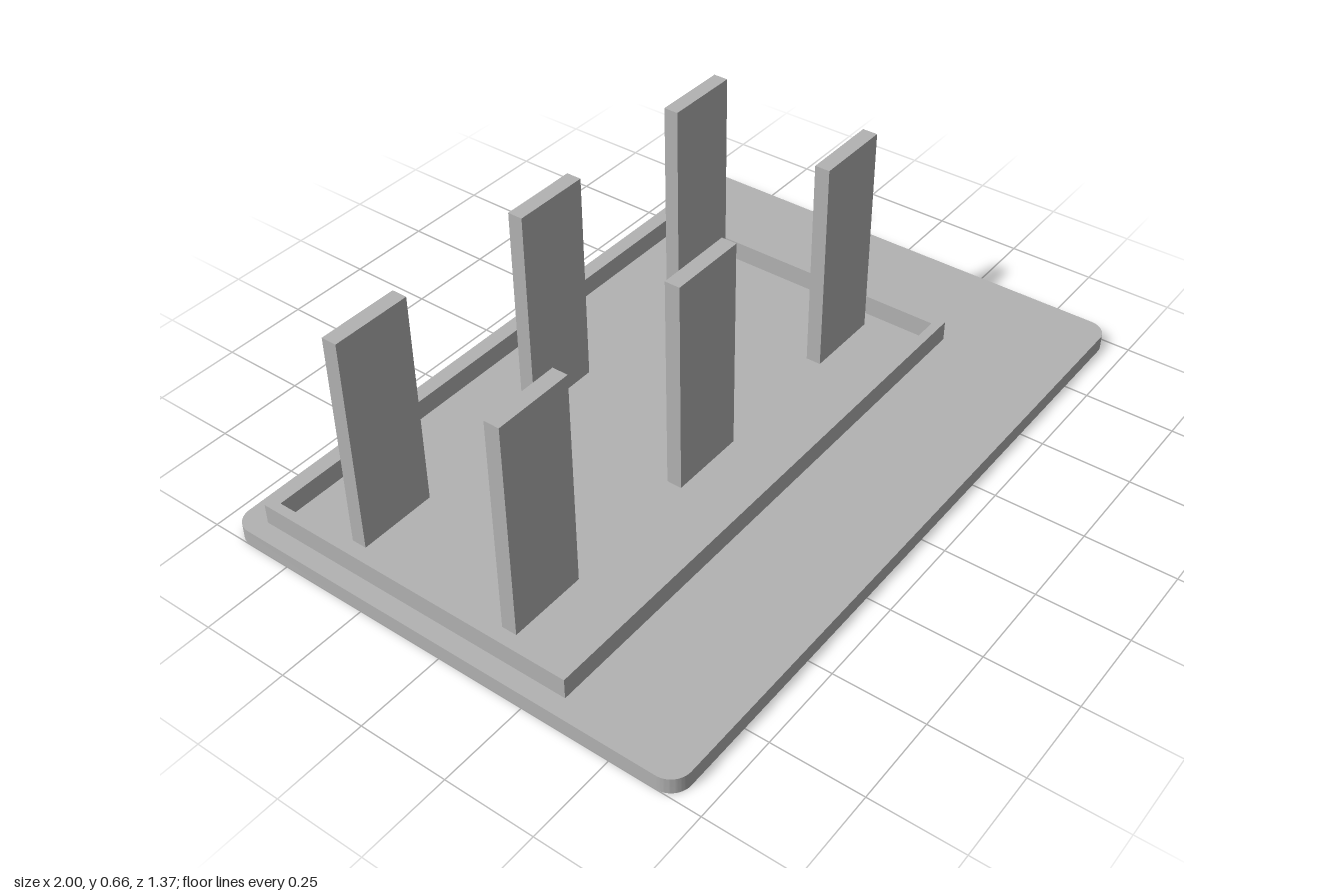
import * as THREE from 'three';
import { toCreasedNormals } from 'three/addons/utils/BufferGeometryUtils.js';

const PLATE_TOP = 0.045;
const RIM_TOP = 0.103;
const POST_TOP = 0.664;

// Extrude a ground-plan shape (x, -z) upward from height y0 to y1
function extrudeUp(shape, y0, y1) {
  const geo = new THREE.ExtrudeGeometry(shape, { depth: y1 - y0, bevelEnabled: false, curveSegments: 10 });
  geo.rotateX(-Math.PI / 2).translate(0, y0, 0);
  return toCreasedNormals(geo, 0.6);
}

// Trace a rectangle on a Shape or Path
function rect(path, x0, y0, x1, y1) {
  path.moveTo(x0, y0);
  path.lineTo(x1, y0);
  path.lineTo(x1, y1);
  path.lineTo(x0, y1);
  path.closePath();
  return path;
}

// Rectangle with rounded corners, centred on the origin
function roundedRect(hw, hd, r) {
  const s = new THREE.Shape();
  s.absarc(hw - r, hd - r, r, 0, Math.PI / 2);
  s.absarc(-hw + r, hd - r, r, Math.PI / 2, Math.PI);
  s.absarc(-hw + r, -hd + r, r, Math.PI, Math.PI * 1.5);
  s.absarc(hw - r, -hd + r, r, Math.PI * 1.5, Math.PI * 2);
  s.closePath();
  return s;
}

export function createModel() {
  const model = new THREE.Group();
  model.name = 'postedBase';
  const grey = new THREE.MeshStandardMaterial({ color: 0xb2b2b2 });
  grey.name = 'plainGrey';

  const add = (name, geo) => {
    const mesh = new THREE.Mesh(geo, grey);
    mesh.name = name;
    model.add(mesh);
    return mesh;
  };

  // Base plate with rounded corners
  add('basePlate', extrudeUp(roundedRect(1, 0.684, 0.055), 0, PLATE_TOP));

  // Low rim around the back right area
  const wall = 0.027;
  const [x0, x1, back, front] = [-0.949, 0.683, -0.613, 0.337];
  const rim = rect(new THREE.Shape(), x0, -front, x1, -back);
  rim.holes.push(rect(new THREE.Path(), x0 + wall, -front + wall, x1 - wall, -back - wall));
  add('rim', extrudeUp(rim, PLATE_TOP, RIM_TOP));

  // Two rows of three flat posts standing inside the rim
  const height = POST_TOP - PLATE_TOP;
  const postGeo = new THREE.BoxGeometry(0.225, height, 0.043);
  for (const [row, z] of [['back', -0.379], ['front', 0.103]]) {
    ['Right', 'Middle', 'Left'].forEach((side, i) => {
      const post = add(`${row}${side}Post`, postGeo);
      post.position.set(-0.757 + i * 0.627, PLATE_TOP + height / 2, z);
    });
  }
  return model;
}
